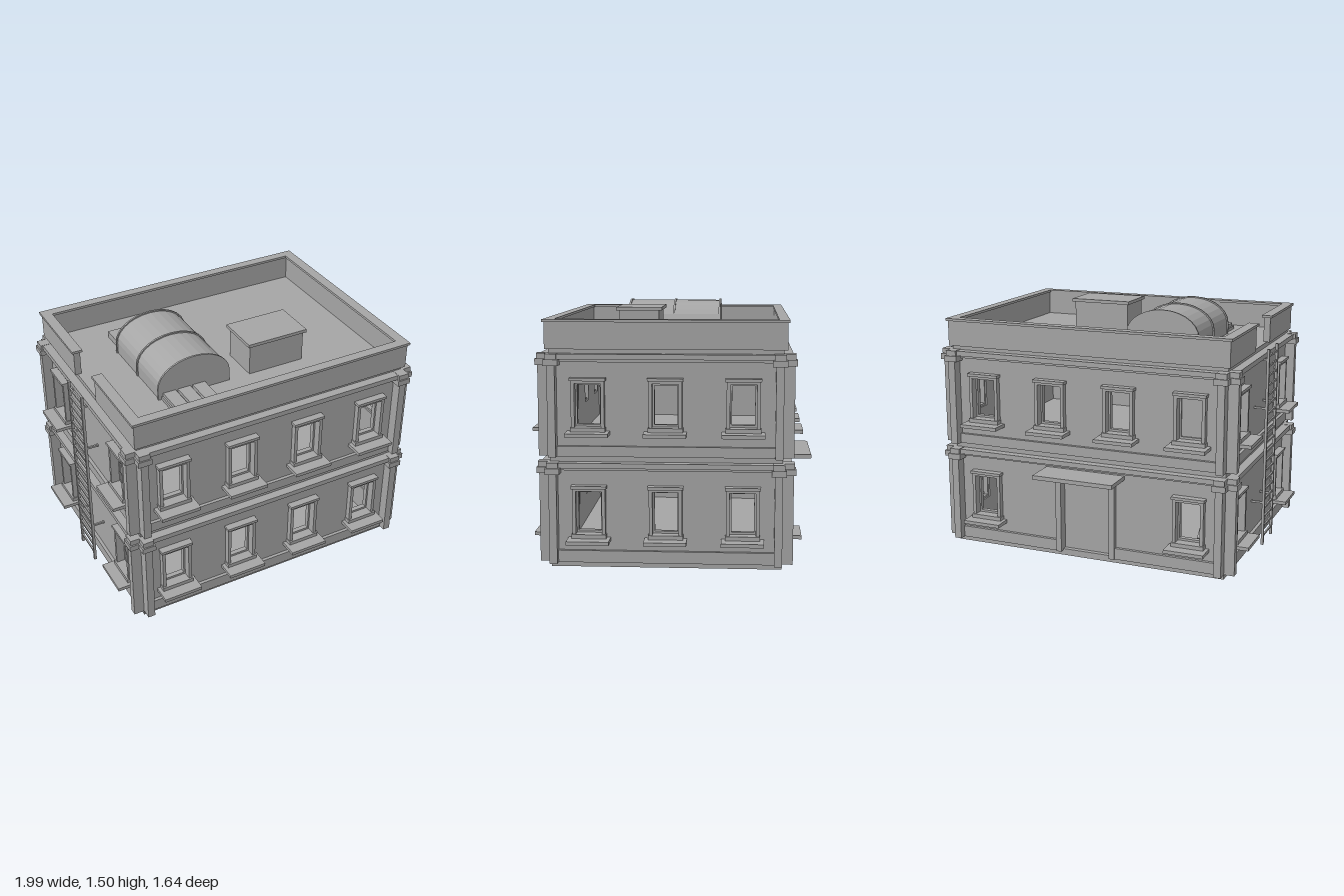
import * as THREE from 'three';

const stone = new THREE.MeshStandardMaterial({ color: 0xa6a6a6 });
stone.name = 'grey stone';

const HX = 0.88, HZ = 0.665, CZ = 0.04, T = 0.055; // half width, half depth, centre z, wall thickness
const FLOORS = [0, 0.62];

function add(parent, name, geometry) {
  const mesh = new THREE.Mesh(geometry, stone);
  mesh.name = name;
  parent.add(mesh);
  return mesh;
}

// box given by its min and max along each axis
function box(parent, name, x0, x1, y0, y1, z0, z1) {
  const g = new THREE.BoxGeometry(x1 - x0, y1 - y0, z1 - z0);
  g.translate((x0 + x1) / 2, (y0 + y1) / 2, (z0 + z1) / 2);
  return add(parent, name, g);
}

function rect(P, x0, x1, y0, y1) {
  const p = new P();
  p.moveTo(x0, y0); p.lineTo(x1, y0); p.lineTo(x1, y1); p.lineTo(x0, y1); p.closePath();
  return p;
}

// upright plate with rectangular holes, from z0 to z1
function plate(parent, name, outer, holes, z0, z1) {
  const s = rect(THREE.Shape, ...outer);
  holes.forEach(h => s.holes.push(rect(THREE.Path, ...h)));
  const g = new THREE.ExtrudeGeometry(s, { depth: z1 - z0, bevelEnabled: false });
  g.translate(0, 0, z0);
  return add(parent, name, g);
}

// window surround; z = 0 is the wall face
function addWindow(parent, x, y, d, closed) {
  const w = new THREE.Group();
  w.name = 'window';
  w.position.set(x, y, d);
  parent.add(w);
  plate(w, 'windowFrame', [-0.095, 0.095, 0.175, 0.47], [[-0.075, 0.075, 0.2, 0.45]], -0.01, 0.035);
  plate(w, 'windowSash', [-0.077, 0.077, 0.195, 0.452], [[-0.065, 0.065, 0.213, 0.438]], -0.045, -0.015);
  box(w, 'windowHeader', -0.102, 0.102, 0.465, 0.482, -0.01, 0.045);
  box(w, 'windowApron', -0.1, 0.1, 0.174, 0.2, -0.01, 0.045);
  box(w, 'windowSill', -0.122, 0.122, 0.155, 0.176, -0.01, 0.115);
  if (closed) box(w, 'shutter', -0.07, 0.07, 0.2, 0.45, -0.035, -0.025);
}

// one facade: local x runs along the wall, local z points outwards
function facade(parent, name, angle, half, d, wallHalf, windows, door) {
  const f = new THREE.Group();
  f.name = name;
  f.rotation.y = angle;
  parent.add(f);
  const holes = windows.map(([x, fl]) => [x - 0.075, x + 0.075, FLOORS[fl] + 0.2, FLOORS[fl] + 0.45]);
  if (door) holes.push(door);
  plate(f, 'wall', [-wallHalf, wallHalf, 0.03, 1.26], holes, d - T, d);
  windows.forEach(([x, fl, closed]) => addWindow(f, x, FLOORS[fl], d, closed));
  FLOORS.forEach((y, fl) => {
    const e = half - 0.045, b0 = y + 0.03, b1 = y + 0.1 - fl * 0.01;
    // plinth band, split around the doorway
    const spans = door && fl === 0 ? [[-e, door[0]], [door[1], e]] : [[-e, e]];
    spans.forEach(([a, b]) => box(f, 'plinthBand', a, b, b0, b1, d - 0.01, d + 0.02));
    box(f, 'cornice', -e, e, y + 0.588, y + 0.618, d - 0.01, d + 0.053);
    box(f, 'frieze', -e, e, y + 0.57, y + 0.59, d - 0.01, d + 0.02);
    for (const s of [-1, 1]) {
      const c = s * (half - 0.0225);
      box(f, 'pilaster', c - 0.0225, c + 0.0225, y + 0.03, y + 0.56, d - 0.01, d + 0.063);
      box(f, 'capital', c - 0.042, c + 0.042, y + 0.553, y + 0.588, d - 0.01, d + 0.075);
      box(f, 'capitalTop', c - 0.033, c + 0.033, y + 0.587, y + 0.62, d - 0.01, d + 0.067);
    }
  });
  return f;
}

export function createModel() {
  const root = new THREE.Group();
  root.name = 'building';
  const b = new THREE.Group();
  b.name = 'house';
  b.position.z = CZ;
  root.add(b);

  // slabs
  box(b, 'base', -HX, HX, 0, 0.03, -HZ, HZ);
  box(b, 'upperFloor', -HX + 0.01, HX - 0.01, 0.6, 0.64, -HZ + 0.01, HZ - 0.01);
  box(b, 'roof', -HX, HX, 1.225, 1.265, -HZ, HZ);

  // facades
  const xs = [-0.665, -0.225, 0.217, 0.66], zs = [-0.44, 0, 0.44];
  const both = list => list.flatMap(x => [[x, 0], [x, 1]]);
  facade(b, 'frontFacade', 0, HX, HZ, HX, both(xs));
  facade(b, 'rightHandFacade', Math.PI / 2, HZ, HX, HZ - T, both(zs));
  facade(b, 'ladderFacade', -Math.PI / 2, HZ, HX, HZ - T,
    [[-0.44, 0], [0.44, 0], [-0.44, 1, true], [0.44, 1, true]]);
  const back = facade(b, 'backFacade', Math.PI, HX, HZ, HX,
    [[-0.66, 0], [0.665, 0], [-0.66, 1], [-0.217, 1], [0.225, 1], [0.665, 1, true]],
    [-0.17, 0.19, 0.04, 0.5]);

  // back door with jambs and canopy
  box(back, 'doorLeaf', -0.17, 0.19, 0.03, 0.5, HZ - 0.045, HZ - 0.03);
  for (const x of [-0.185, 0.165]) box(back, 'doorJamb', x, x + 0.035, 0.03, 0.53, HZ - 0.03, HZ + 0.03);
  box(back, 'canopy', -0.255, 0.255, 0.532, 0.557, HZ - 0.01, HZ + 0.195);

  // leaning plank indoors
  const plank = add(b, 'plank', new THREE.BoxGeometry(0.03, 0.02, 0.36));
  plank.position.set(-0.7, 0.31, -0.44);
  plank.rotation.x = -0.7;

  // parapet with capping, open beside the ladder
  const px = 0.895, pz = 0.685, pt = 0.04;
  const parapet = (x0, x1, z0, z1) => {
    box(b, 'parapet', x0, x1, 1.262, 1.417, z0, z1);
    box(b, 'parapetCap', x0 - 0.012, x1 + 0.012, 1.415, 1.43, z0 - 0.01, z1 + 0.01);
  };
  for (const s of [-1, 1]) {
    const c = s * (pz - pt / 2);
    parapet(-px, px, c - pt / 2, c + pt / 2);
  }
  parapet(px - pt, px, -pz + pt, pz - pt);
  parapet(-px, -px + pt, -pz + pt, -0.16);
  parapet(-px, -px + pt, 0.15, pz - pt);

  // ladder
  const ladder = new THREE.Group();
  ladder.name = 'ladder';
  root.add(ladder);
  for (const z of [-0.068, 0.132]) {
    box(ladder, 'ladderRail', -0.966, -0.95, 0.03, 1.27, z - 0.008, z + 0.008);
    for (const y of [0.3, 0.9, 1.2]) box(ladder, 'ladderBracket', -0.955, -0.87, y, y + 0.012, z - 0.006, z + 0.006);
  }
  for (let i = 0; i < 20; i++) {
    const y = 0.08 + i * 0.06;
    box(ladder, 'ladderRung', -0.963, -0.953, y, y + 0.012, -0.068, 0.132);
  }

  // barrel skylight with ribs
  const vault = (name, grow, z0, z1) => {
    const s = new THREE.Shape(), a = 0.225 + grow, h = 0.15 + grow;
    s.moveTo(-a, 1.26);
    s.lineTo(a, 1.26);
    for (let i = 0; i <= 14; i++) {
      const t = Math.PI * i / 14;
      s.lineTo(a * Math.cos(t), 1.338 + h * Math.sin(t));
    }
    s.closePath();
    const g = new THREE.ExtrudeGeometry(s, { depth: z1 - z0, bevelEnabled: false });
    g.translate(-0.343, 0, z0);
    add(root, name, g);
  };
  vault('barrelSkylight', 0, -0.232, 0.352);
  for (const z of [-0.235, 0.06, 0.352]) vault('skylightRib', 0.008, z - 0.006, z + 0.006);

  // rooftop shed and duct boxes
  box(root, 'shed', 0.025, 0.39, 1.26, 1.457, 0.115, 0.358);
  box(root, 'shedCap', 0.01, 0.405, 1.455, 1.475, 0.097, 0.373);
  for (const x of [-0.545, -0.432, -0.315]) box(root, 'ventBox', x, x + 0.095, 1.26, 1.305, -0.435, -0.29);
  box(root, 'stepBase', -0.555, -0.265, 1.26, 1.285, 0.35, 0.557);
  for (let i = 0; i < 3; i++) {
    const x = -0.545 + i * 0.095;
    box(root, 'stepSlat', x, x + 0.08, 1.28, 1.305, 0.35, 0.547);
  }
  return root;
}
